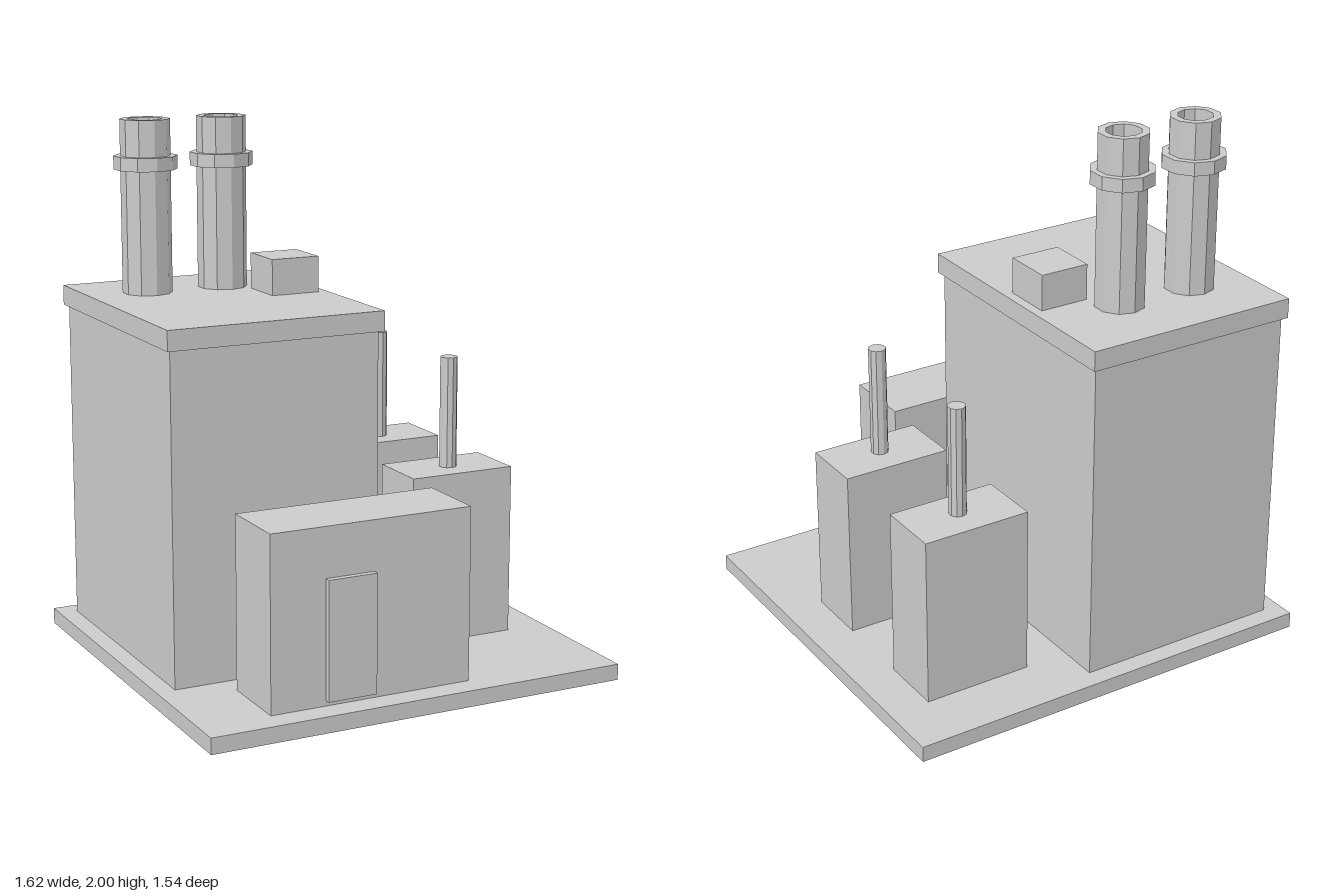
import * as THREE from 'three';

const material = new THREE.MeshStandardMaterial({ color: 0xcccccc, flatShading: true });

function add(parent, name, geometry, x = 0, y = 0, z = 0) {
  const mesh = new THREE.Mesh(geometry, material);
  mesh.name = name;
  mesh.position.set(x, y, z);
  parent.add(mesh);
  return mesh;
}

// Box given by its extents on each axis
function block(parent, name, [x0, x1], [y0, y1], [z0, z1]) {
  const geometry = new THREE.BoxGeometry(x1 - x0, y1 - y0, z1 - z0);
  return add(parent, name, geometry, (x0 + x1) / 2, (y0 + y1) / 2, (z0 + z1) / 2);
}

// Ten-sided turned part from [radius, height] pairs
function turned(profile) {
  return new THREE.LatheGeometry(profile.map(([r, y]) => new THREE.Vector2(r, y)), 10);
}

export function createModel() {
  const model = new THREE.Group();
  model.name = 'powerPlant';

  // Ground slab
  block(model, 'baseSlab', [-0.81, 0.81], [0, 0.06], [-0.77, 0.77]);

  // Main hall with overhanging roof and a roof vent
  block(model, 'mainHall', [-0.74, 0.065], [0.06, 1.28], [-0.697, 0.295]);
  block(model, 'hallRoof', [-0.755, 0.082], [1.28, 1.355], [-0.715, 0.312]);
  block(model, 'roofVent', [-0.145, 0.045], [1.355, 1.49], [-0.335, -0.145]);

  // Hollow chimneys, each with a collar
  for (const x of [-0.525, -0.22]) {
    const chimney = new THREE.Group();
    chimney.name = 'chimney';
    chimney.position.set(x, 1.355, -0.43);
    add(chimney, 'chimneyTube', turned([[0.093, 0], [0.093, 0.645], [0.064, 0.645], [0.064, 0]]));
    add(chimney, 'chimneyCollar', turned([[0.09, 0.46], [0.118, 0.46], [0.118, 0.51], [0.09, 0.51]]));
    model.add(chimney);
  }

  // Front office and its door
  block(model, 'frontOffice', [-0.545, 0.235], [0.06, 0.705], [0.393, 0.675]);
  block(model, 'door', [-0.335, -0.147], [0.08, 0.52], [0.67, 0.698]);

  // Side units with exhaust pipes
  for (const z of [-0.42, 0.135]) {
    block(model, 'sideUnit', [0.235, 0.653], [0.06, 0.705], [z - 0.123, z + 0.123]);
    add(model, 'exhaustPipe', new THREE.CylinderGeometry(0.033, 0.033, 0.42, 10), 0.445, 0.915, z + 0.007);
  }

  return model;
}
